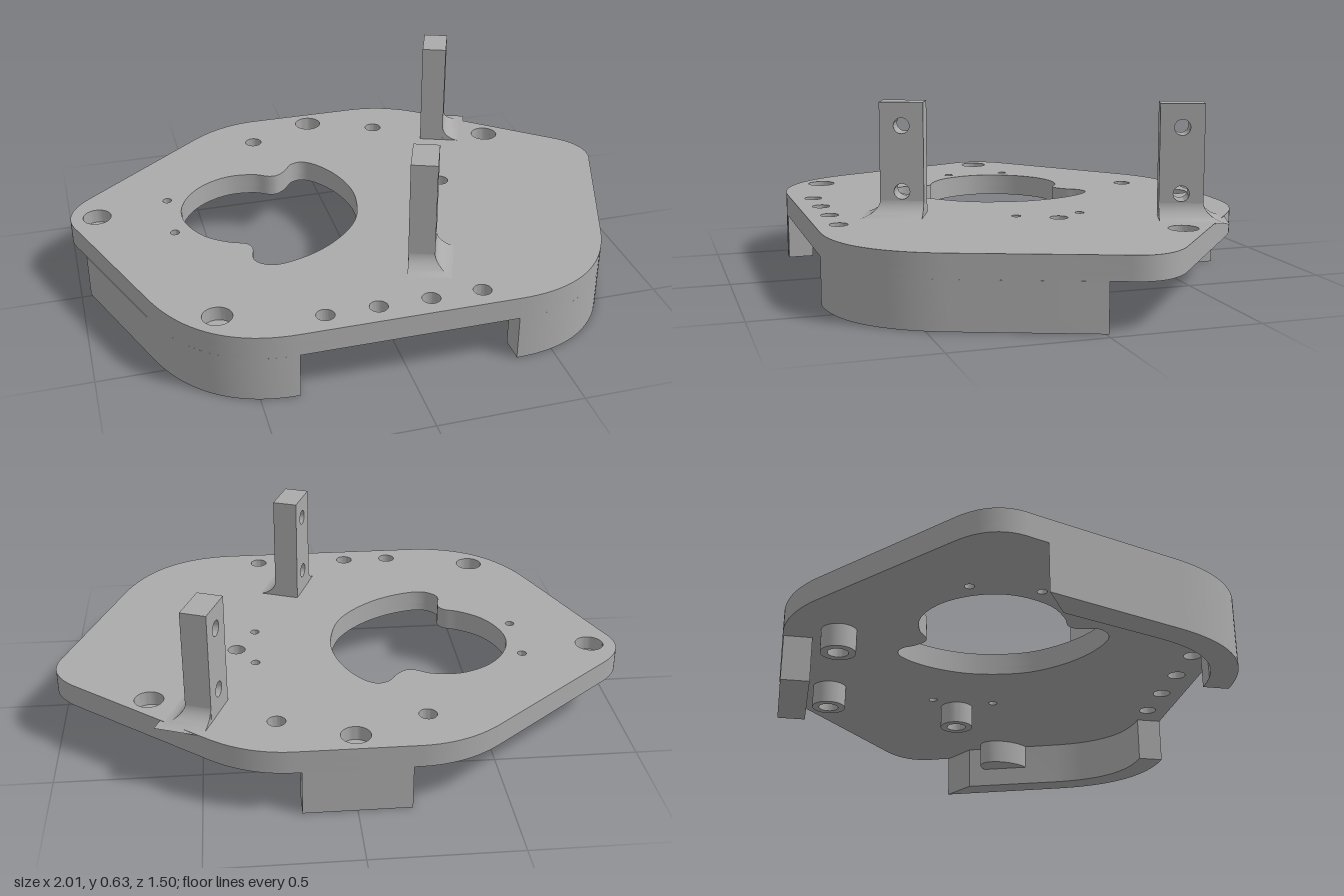
import * as THREE from 'three';
import { toCreasedNormals } from 'three/addons/utils/BufferGeometryUtils.js';

const V = (x, y) => new THREE.Vector2(x, y);

export function createModel() {
  const group = new THREE.Group();
  const grey = new THREE.MeshStandardMaterial({ color: 0xaaaaaa });
  grey.name = 'plain grey';

  function add(name, geometry, parent = group) {
    const mesh = new THREE.Mesh(geometry, grey);
    mesh.name = name;
    parent.add(mesh);
    return mesh;
  }

  // Shapes are drawn as (x, z) plans and extruded between two heights
  function slab(shape, y0, y1) {
    const g = new THREE.ExtrudeGeometry(shape, { depth: y1 - y0, bevelEnabled: false, curveSegments: 20 });
    g.rotateX(Math.PI / 2).translate(0, y1, 0);
    return toCreasedNormals(g, 0.6);
  }

  function circle(x, z, r) {
    const p = new THREE.Path();
    p.absarc(x, z, r, 0, Math.PI * 2, true);
    return p;
  }

  // Plate outline: six rounded corners, mirrored in x
  function plateShape() {
    const s = new THREE.Shape();
    s.moveTo(0.2, -0.75);
    s.quadraticCurveTo(0.354, -0.75, 0.48, -0.645);
    s.lineTo(0.92, -0.285);
    s.quadraticCurveTo(1.045, -0.185, 0.985, -0.06);
    s.lineTo(0.8, 0.43);
    s.quadraticCurveTo(0.68, 0.745, 0.37, 0.745);
    s.lineTo(-0.37, 0.745);
    s.quadraticCurveTo(-0.68, 0.745, -0.8, 0.43);
    s.lineTo(-0.985, -0.06);
    s.quadraticCurveTo(-1.045, -0.185, -0.92, -0.285);
    s.lineTo(-0.48, -0.645);
    s.quadraticCurveTo(-0.354, -0.75, -0.2, -0.75);
    s.closePath();
    return s;
  }

  // Large lobed opening
  const lobes = [
    [-0.22, -0.27], [-0.18, -0.3], [-0.15, -0.34], [-0.11, -0.352], [-0.07, -0.33], [-0.01, -0.24],
    [0.025, -0.12], [0.025, -0.02], [-0.02, 0.13], [-0.13, 0.25], [-0.26, 0.32], [-0.37, 0.335],
    [-0.42, 0.29], [-0.41, 0.21], [-0.425, 0.18], [-0.48, 0.155], [-0.56, 0.09], [-0.61, -0.02],
    [-0.61, -0.11], [-0.57, -0.2], [-0.5, -0.27], [-0.4, -0.31], [-0.3, -0.3], [-0.25, -0.272],
  ];
  const loop = new THREE.CatmullRomCurve3(lobes.map(([x, z]) => new THREE.Vector3(x, z, 0)), true);
  const opening = loop.getPoints(96).slice(0, 96).map((p) => V(p.x, p.y));

  // Through holes, and round pockets that stop inside the plate
  const bosses = [[-0.25, -0.565], [0.25, -0.565], [0.37, -0.07]];
  const through = [
    ...bosses.map(([x, z]) => [x, z, 0.031]),
    ...[-0.267, -0.09, 0.088, 0.265].map((x) => [x, 0.665, 0.031]),
    ...[[-0.65, -0.19], [-0.655, -0.04 + 0.08], [0.305, -0.17], [0.3, 0.06]].map(([x, z]) => [x, z, 0.016]),
  ];
  const pockets = [[0, -0.67, 0.05], [0.67, -0.39, 0.05], [-0.91, -0.14, 0.05], [-0.6, 0.58, 0.05]];

  function layer(holes) {
    const s = plateShape();
    s.holes.push(new THREE.Path(opening), ...holes.map((h) => circle(...h)));
    return s;
  }
  add('plateUpperLayer', slab(layer([...through, ...pockets]), 0.19, 0.24));
  add('plateLowerLayer', slab(layer(through), 0.16, 0.19));

  // Skirt walls under the two front corners
  const corner = new THREE.QuadraticBezierCurve(V(0.37, 0.745), V(0.68, 0.745), V(0.8, 0.43));
  const outer = [], inner = [];
  for (let i = 0; i <= 24; i++) {
    const p = corner.getPoint(i / 24), t = corner.getTangent(i / 24);
    outer.push(p);
    inner.push(V(p.x + t.y * 0.09, p.y - t.x * 0.09));
  }
  outer.push(V(0.967, -0.01));
  inner.push(V(0.84, 0.06));
  const ring = [...outer, ...inner.reverse()];
  for (const side of [1, -1]) {
    const name = side > 0 ? 'left' : 'right';
    add(name + 'Skirt', slab(new THREE.Shape(ring.map((p) => V(p.x * side, p.y))), 0, 0.16));

    // Low rounded lug on the inner face of the skirt
    const lug = new THREE.Shape();
    lug.absellipse(0, 0, 0.11, 0.07, 0, Math.PI * 2, false);
    const mesh = add(name + 'SkirtLug', slab(lug, 0.07, 0.16));
    mesh.position.set(side * 0.785, 0, 0.2);
    mesh.rotation.y = side * (Math.PI / 2 + 0.36);
  }

  // Rear foot block
  const foot = new THREE.Shape([V(-0.18, -0.747), V(0.18, -0.747), V(0.18, -0.65), V(-0.18, -0.65)]);
  add('rearFoot', slab(foot, 0, 0.16));

  // Hollow bosses beneath the plate
  for (const [x, z] of bosses) {
    const s = new THREE.Shape();
    s.absarc(x, z, 0.06, 0, Math.PI * 2, false);
    s.holes.push(circle(x, z, 0.035));
    add('boss', slab(s, 0.08, 0.16));
  }

  // Flared base: rectangles stacked up a concave curve, widening on +x and on one z side
  function flare(zSide) {
    const rows = 10, pos = [], index = [];
    for (let i = 0; i <= rows; i++) {
      const a = (i / rows) * Math.PI / 2;
      const y = 0.238 + 0.06 * (1 - Math.cos(a));
      const w = 0.08 * (1 - Math.sin(a));
      const x0 = -0.044, x1 = 0.0445 + w;
      const z0 = -0.0745 - (zSide < 0 ? w : 0), z1 = 0.0745 + (zSide > 0 ? w : 0);
      pos.push(x0, y, z0, x0, y, z1, x1, y, z1, x1, y, z0);
    }
    for (let i = 0; i < rows; i++) {
      for (let k = 0; k < 4; k++) {
        const a = i * 4 + k, b = i * 4 + (k + 1) % 4;
        index.push(a, b, b + 4, a, b + 4, a + 4);
      }
    }
    const g = new THREE.BufferGeometry();
    g.setAttribute('position', new THREE.Float32BufferAttribute(pos, 3));
    g.setIndex(index);
    return toCreasedNormals(g, 0.6);
  }

  // Upright posts, each drilled with two cross holes
  for (const [name, x, z, zSide] of [['frontPost', 0.14, 0.415, 1], ['rearPost', 0.475, -0.47, -1]]) {
    const post = new THREE.Group();
    post.name = name;
    const s = new THREE.Shape([V(-0.075, 0.23), V(0.075, 0.23), V(0.075, 0.63), V(-0.075, 0.63)]);
    s.holes.push(circle(0, 0.325, 0.027), circle(0, 0.55, 0.027));
    const g = new THREE.ExtrudeGeometry(s, { depth: 0.09, bevelEnabled: false, curveSegments: 20 });
    g.translate(0, 0, -0.045).rotateY(Math.PI / 2);
    add(name + 'Upright', toCreasedNormals(g, 0.6), post);
    add(name + 'Flare', flare(zSide), post);
    post.position.set(x, 0, z);
    post.rotation.y = -0.37;
    group.add(post);
  }

  return group;
}
